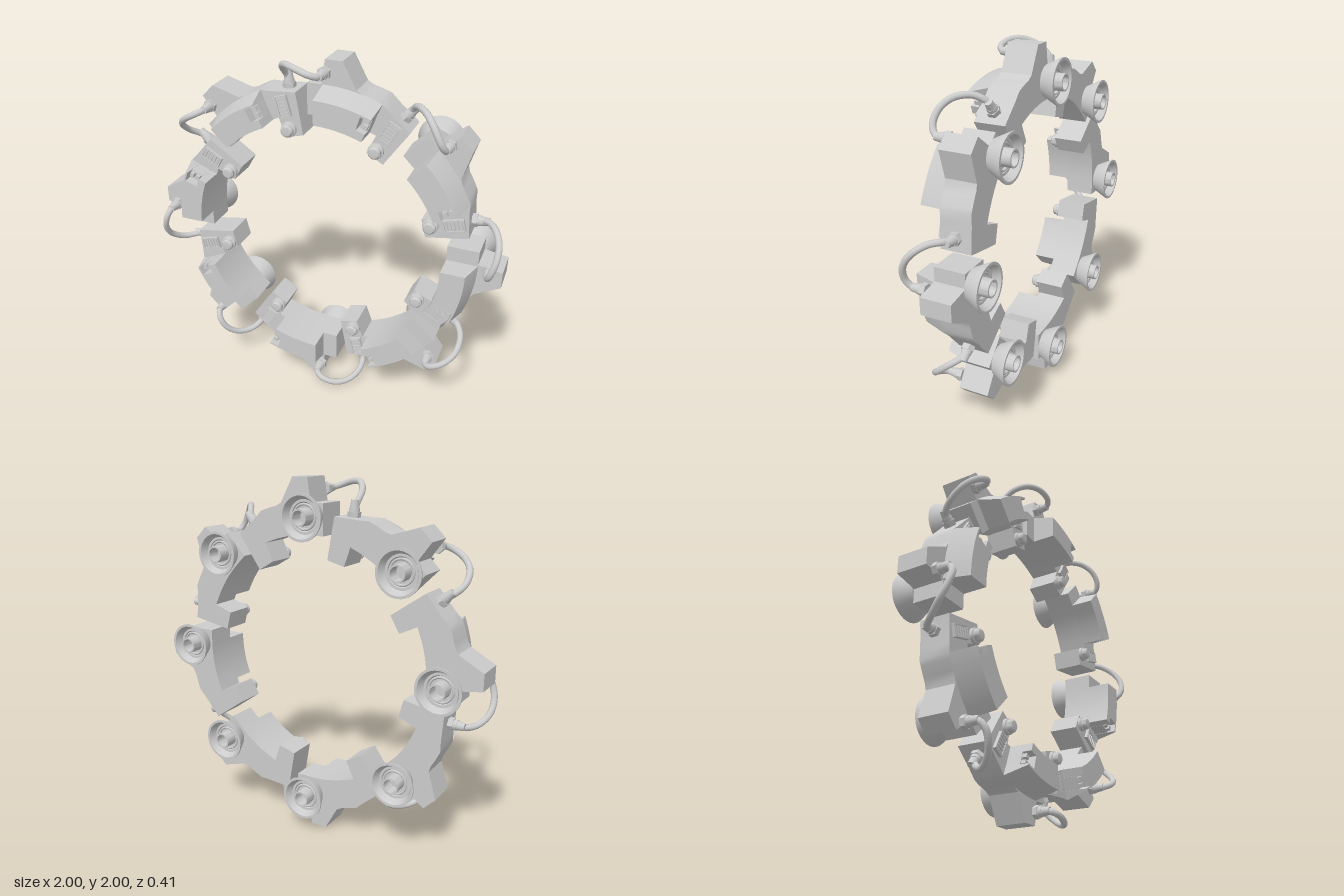
import * as THREE from 'three';
import { toCreasedNormals } from 'three/addons/utils/BufferGeometryUtils.js';

const material = new THREE.MeshStandardMaterial({ color: 0xcccccc });
const openMaterial = new THREE.MeshStandardMaterial({ color: 0xcccccc, side: THREE.DoubleSide });

function add(parent, name, geometry, x = 0, y = 0, z = 0, mat = material) {
  const mesh = new THREE.Mesh(geometry, mat);
  mesh.name = name;
  mesh.position.set(x, y, z);
  parent.add(mesh);
  return mesh;
}

const shapeOf = (pts) => new THREE.Shape(pts.map(([x, y]) => new THREE.Vector2(x, y)));

function slab(pts, z0, z1) {
  const g = new THREE.ExtrudeGeometry(shapeOf(pts), { depth: z1 - z0, bevelEnabled: false });
  return g.translate(0, 0, z0);
}

// Lathe profile of [radius, depth] points, its depth running to the back
function latheBack(points) {
  const g = new THREE.LatheGeometry(points.map(([x, y]) => new THREE.Vector2(x, y)), 32);
  return toCreasedNormals(g.rotateX(-Math.PI / 2), 0.5);
}

// Angle measured clockwise from the top of the ring
const polar = (r, deg) => [r * Math.sin(deg * Math.PI / 180), r * Math.cos(deg * Math.PI / 180)];

function arcPoints(r, from, to, n = 10) {
  return Array.from({ length: n + 1 }, (_, i) => polar(r, from + (to - from) * i / n));
}

// Curved raised cover piece; an edge at the outer radius slopes in towards the front
function coverGeometry(rIn, rOut, from, to) {
  const g = slab([...arcPoints(rOut, from, to), ...arcPoints(rIn, to, from)], 0.07, 0.2);
  const p = g.attributes.position;
  for (let i = 0; i < p.count; i++) {
    const r = Math.hypot(p.getX(i), p.getY(i));
    if (r > 0.85 && p.getZ(i) > 0.15) p.setXY(i, p.getX(i) * 0.83 / r, p.getY(i) * 0.83 / r);
  }
  return toCreasedNormals(g, 0.5);
}

// Hexagonal nut with a stepped, tapering sleeve, base at the origin, along +y
function plug() {
  const g = new THREE.Group();
  g.name = 'cablePlug';
  add(g, 'plugNut', toCreasedNormals(new THREE.CylinderGeometry(0.036, 0.036, 0.028, 6), 0.5), 0, 0.014, 0);
  add(g, 'plugCollar', new THREE.CylinderGeometry(0.027, 0.029, 0.02, 16), 0, 0.038, 0);
  add(g, 'plugSleeve', new THREE.CylinderGeometry(0.02, 0.025, 0.04, 16), 0, 0.068, 0);
  return g;
}

function createUnit() {
  const unit = new THREE.Group();
  unit.name = 'ringUnit';

  // Base plate with the outer lug and the angled, low end block
  const outline = [[0.012, 1.0], [0.105, 1.0], [0.18, 0.862], ...arcPoints(0.87, 14, 21, 4),
    [0.355, 0.77], [0.463, 0.678], [0.33, 0.487], [0.24, 0.54], [0.288, 0.64],
    ...arcPoints(0.70, 21, 0), [-0.085, 0.70], [-0.085, 0.87], [-0.008, 0.87]];
  add(unit, 'basePlate', toCreasedNormals(slab(outline, -0.1, 0.07), 0.5));

  // Raised cover, forked at its end around the twin socket
  add(unit, 'curvedCover', coverGeometry(0.70, 0.87, 0, 17.5));
  add(unit, 'innerFork', coverGeometry(0.70, 0.745, 17.5, 21.3));
  add(unit, 'outerFork', coverGeometry(0.82, 0.87, 17.5, 21.3));
  const socket = new THREE.Group();
  socket.name = 'twinSocket';
  socket.position.set(...polar(0.783, 19.6), 0);
  socket.rotation.z = -19.6 * Math.PI / 180;
  add(socket, 'socketBody', new THREE.BoxGeometry(0.045, 0.076, 0.08), 0, 0, 0.11);
  for (const s of [-1, 1])
    add(socket, 'socketPin', new THREE.BoxGeometry(0.025, 0.022, 0.03), 0.006, s * 0.018, 0.16);
  unit.add(socket);

  // Control panel on the end block: base, frame and vent ribs
  const panel = new THREE.Group();
  panel.name = 'controlPanel';
  panel.position.set(0.36, 0.668, 0.07);
  panel.rotation.z = -0.52;
  add(panel, 'panelBase', new THREE.BoxGeometry(0.06, 0.106, 0.012), 0, 0, 0.004);
  for (const s of [-1, 1]) {
    add(panel, 'panelSide', new THREE.BoxGeometry(0.006, 0.112, 0.02), s * 0.031, 0, 0.008);
    add(panel, 'panelEnd', new THREE.BoxGeometry(0.068, 0.006, 0.02), 0, s * 0.054, 0.008);
  }
  for (let i = 0; i < 5; i++)
    add(panel, 'ventRib', new THREE.BoxGeometry(0.052, 0.01, 0.012), 0, (i - 2) * 0.02, 0.011);
  unit.add(panel);

  // Round knob with a domed cap
  const knob = [[0.042, 0], [0.042, 0.016], [0.034, 0.02], [0.034, 0.038], [0.026, 0.046], [0, 0.049]];
  const knobGeometry = new THREE.LatheGeometry(knob.map(([x, y]) => new THREE.Vector2(x, y)), 24);
  add(unit, 'knob', toCreasedNormals(knobGeometry.rotateX(Math.PI / 2), 0.6), 0.292, 0.56, 0.07);

  // Flared hollow cup, inner ring and central tube on the back
  add(unit, 'backCup', latheBack([[0, 0], [0.085, 0], [0.126, 0.082], [0.126, 0.09], [0.112, 0.09],
    [0.092, 0.05], [0.078, 0.05], [0.07, 0.03], [0, 0.03]]), 0, 0.8, -0.1, openMaterial);
  add(unit, 'cupTube', latheBack([[0.046, 0], [0.046, 0.08], [0.037, 0.08], [0.037, 0]]),
    0, 0.8, -0.125, openMaterial);
  add(unit, 'cupRing', new THREE.TorusGeometry(0.066, 0.007, 8, 28), 0, 0.8, -0.148);

  // Plugs on the lug's front and the end block's outer side
  const lugPlug = plug();
  lugPlug.position.set(0.012, 0.932, 0.07);
  lugPlug.rotation.x = Math.PI / 2;
  unit.add(lugPlug);
  const endPlug = plug();
  endPlug.position.set(0.41, 0.722, -0.015);
  endPlug.rotation.z = -0.73;
  unit.add(endPlug);

  // Cable looping over to the neighbouring unit's end plug
  const path = [[0.012, 0.932, 0.13], [0.004, 0.936, 0.16], [-0.035, 0.95, 0.183], [-0.11, 0.970, 0.172],
    [-0.18, 0.968, 0.125], [-0.228, 0.930, 0.055], [-0.233, 0.88, 0.0], [-0.223, 0.84, -0.015]];
  const curve = new THREE.CatmullRomCurve3(path.map((p) => new THREE.Vector3(...p)));
  add(unit, 'cable', new THREE.TubeGeometry(curve, 36, 0.0175, 10));
  return unit;
}

export function createModel() {
  const model = new THREE.Group();
  model.name = 'segmentedRing';
  for (let i = 0; i < 8; i++) {
    const unit = createUnit();
    unit.position.y = 1;
    unit.rotation.z = i * Math.PI / 4;
    model.add(unit);
  }
  return model;
}
